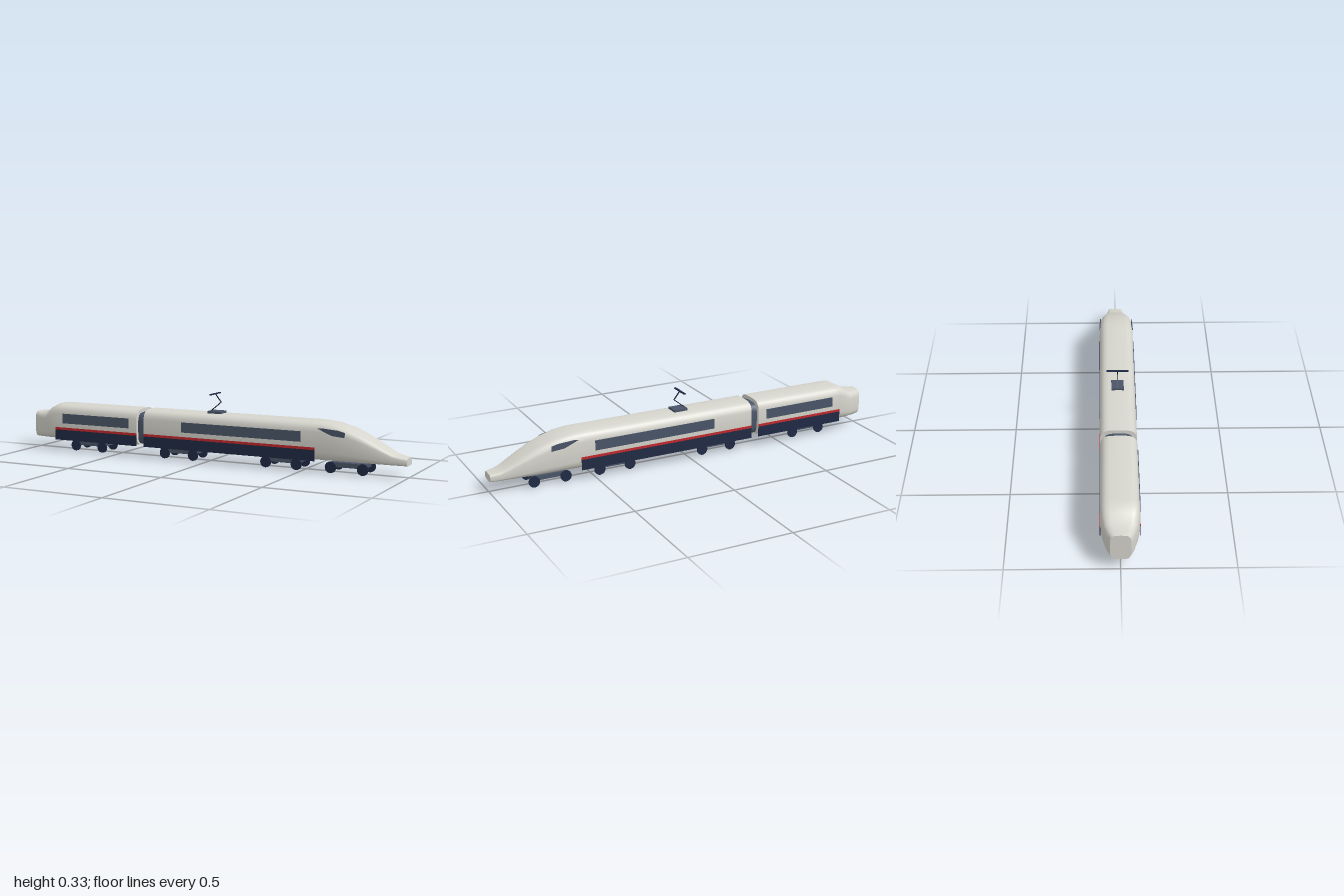
import * as THREE from 'three';

const paint = (name, color) => {
  const m = new THREE.MeshStandardMaterial({ color });
  m.name = name;
  return m;
};

// Skin through rounded-square rings; each station is [x, bottom, top, halfWidth]
function loft(stations, sides = 24) {
  const pos = [], idx = [];
  const soft = (v) => Math.sign(v) * Math.sqrt(Math.abs(v));
  const ring = ([x, lo, hi, w]) => {
    const first = pos.length / 3;
    for (let j = 0; j < sides; j++) {
      const a = (j / sides) * Math.PI * 2;
      pos.push(x, (lo + hi) / 2 + ((hi - lo) / 2) * soft(Math.sin(a)), w * soft(Math.cos(a)));
    }
    return first;
  };
  const rings = stations.map(ring);
  for (let i = 0; i + 1 < rings.length; i++) {
    for (let j = 0; j < sides; j++) {
      const k = (j + 1) % sides, a = rings[i], b = rings[i + 1];
      idx.push(a + j, b + j, a + k, b + j, b + k, a + k);
    }
  }
  // Flat end caps with their own vertices
  [[stations[0], false], [stations[stations.length - 1], true]].forEach(([s, flip]) => {
    const f = ring(s), c = pos.length / 3;
    pos.push(s[0], (s[1] + s[2]) / 2, 0);
    for (let j = 0; j < sides; j++) {
      const k = (j + 1) % sides;
      idx.push(c, f + (flip ? k : j), f + (flip ? j : k));
    }
  });
  const g = new THREE.BufferGeometry();
  g.setAttribute('position', new THREE.Float32BufferAttribute(pos, 3));
  g.setIndex(idx);
  g.computeVertexNormals();
  return g;
}

export function createModel() {
  const white = paint('bodyWhite', 0xd6d5cd);
  const slate = paint('slateGrey', 0x4a5568);
  const navy = paint('navy', 0x1f2a44);
  const red = paint('stripeRed', 0xc0282d);
  const dark = paint('pantographDark', 0x1a2030);

  const train = new THREE.Group();
  train.name = 'train';
  const add = (name, geo, mat, parent = train) => {
    const m = new THREE.Mesh(geo, mat);
    m.name = name;
    parent.add(m);
    return m;
  };
  const box = (name, x0, x1, y0, y1, z0, z1, mat, parent) => {
    const m = add(name, new THREE.BoxGeometry(x1 - x0, y1 - y0, z1 - z0), mat, parent);
    m.position.set((x0 + x1) / 2, (y0 + y1) / 2, (z0 + z1) / 2);
    return m;
  };

  // Car bodies and the gangway between them
  const lo = 0.055, hi = 0.236, w = 0.087;
  add('rearCarBody', loft([
    [-1, lo, 0.187, 0.046], [-0.97, lo, 0.188, 0.061], [-0.925, lo, 0.19, 0.075],
    [-0.89, lo, 0.217, 0.083], [-0.855, lo, 0.235, w], [-0.82, lo, hi, w], [-0.37, lo, hi, w],
  ]), white);
  add('frontCarBody', loft([
    [-0.33, lo, hi, w], [0.55, lo, hi, w], [0.6, lo, 0.235, w], [0.66, lo, 0.228, 0.085],
    [0.72, lo, 0.212, 0.081], [0.78, lo, 0.188, 0.075], [0.84, lo, 0.158, 0.067],
    [0.89, lo, 0.131, 0.058], [0.93, lo, 0.109, 0.05], [0.96, lo, 0.099, 0.045], [1, lo, 0.092, 0.038],
  ]), white);
  add('gangway', loft([[-0.372, 0.06, 0.218, 0.07], [-0.328, 0.06, 0.218, 0.07]]), slate);

  // Skirts, stripes and windows on both sides
  const cabShape = new THREE.Shape([
    [0, 0], [0.07, -0.03], [0.132, -0.036], [0.132, -0.012], [0.1, -0.004], [0.02, 0.002],
  ].map(([x, y]) => new THREE.Vector2(x, y)));
  for (const s of [1, -1]) {
    const side = s > 0 ? 'left' : 'right';
    const plate = (name, x0, x1, y0, y1, mat) => {
      const z = s * 0.0872;
      box(side + name, x0, x1, y0, y1, z - 0.0015, z + 0.0015, mat);
    };
    [['Rear', -0.85, -0.37, -0.805, -0.415], ['Front', -0.33, 0.575, -0.12, 0.505]].forEach(([n, a, b, c, d]) => {
      plate(n + 'Skirt', a, b, 0.055, 0.107, navy);
      plate(n + 'Stripe', a, b, 0.107, 0.119, red);
      plate(n + 'Window', c, d, 0.141, 0.19, slate);
    });
    const cab = add(side + 'CabWindow',
      new THREE.ExtrudeGeometry(cabShape, { depth: 0.003, bevelEnabled: false }), slate);
    cab.position.set(0.587, 0.208, s * 0.0865 - 0.0015);
    cab.rotation.y = s * 0.035;
  }

  // Bogies: a frame with four wheels each
  const wheelGeo = new THREE.CylinderGeometry(0.027, 0.027, 0.008, 16).rotateX(Math.PI / 2);
  [-0.67, -0.152, 0.392, 0.719].forEach((x) => {
    const bogie = new THREE.Group();
    bogie.name = 'bogie';
    bogie.position.x = x;
    train.add(bogie);
    box('bogieFrame', -0.085, 0.085, 0.029, 0.051, -0.047, 0.047, slate, bogie);
    for (const dx of [-0.078, 0.078]) {
      for (const z of [-0.051, 0.051]) add('wheel', wheelGeo, navy, bogie).position.set(dx, 0.027, z);
    }
  });

  // Pantograph on the roof
  box('pantographBase', -0.005, 0.067, 0.233, 0.246, -0.03, 0.03, slate);
  const arm = (name, x0, y0, x1, y1) => {
    const m = add(name, new THREE.BoxGeometry(Math.hypot(x1 - x0, y1 - y0), 0.004, 0.004), dark);
    m.position.set((x0 + x1) / 2, (y0 + y1) / 2, 0);
    m.rotation.z = Math.atan2(y1 - y0, x1 - x0);
  };
  arm('lowerArm', 0, 0.245, 0.054, 0.289);
  arm('upperArm', 0.054, 0.289, 0.022, 0.329);
  box('contactBar', 0.017, 0.027, 0.326, 0.331, -0.052, 0.052, navy);

  return train;
}
